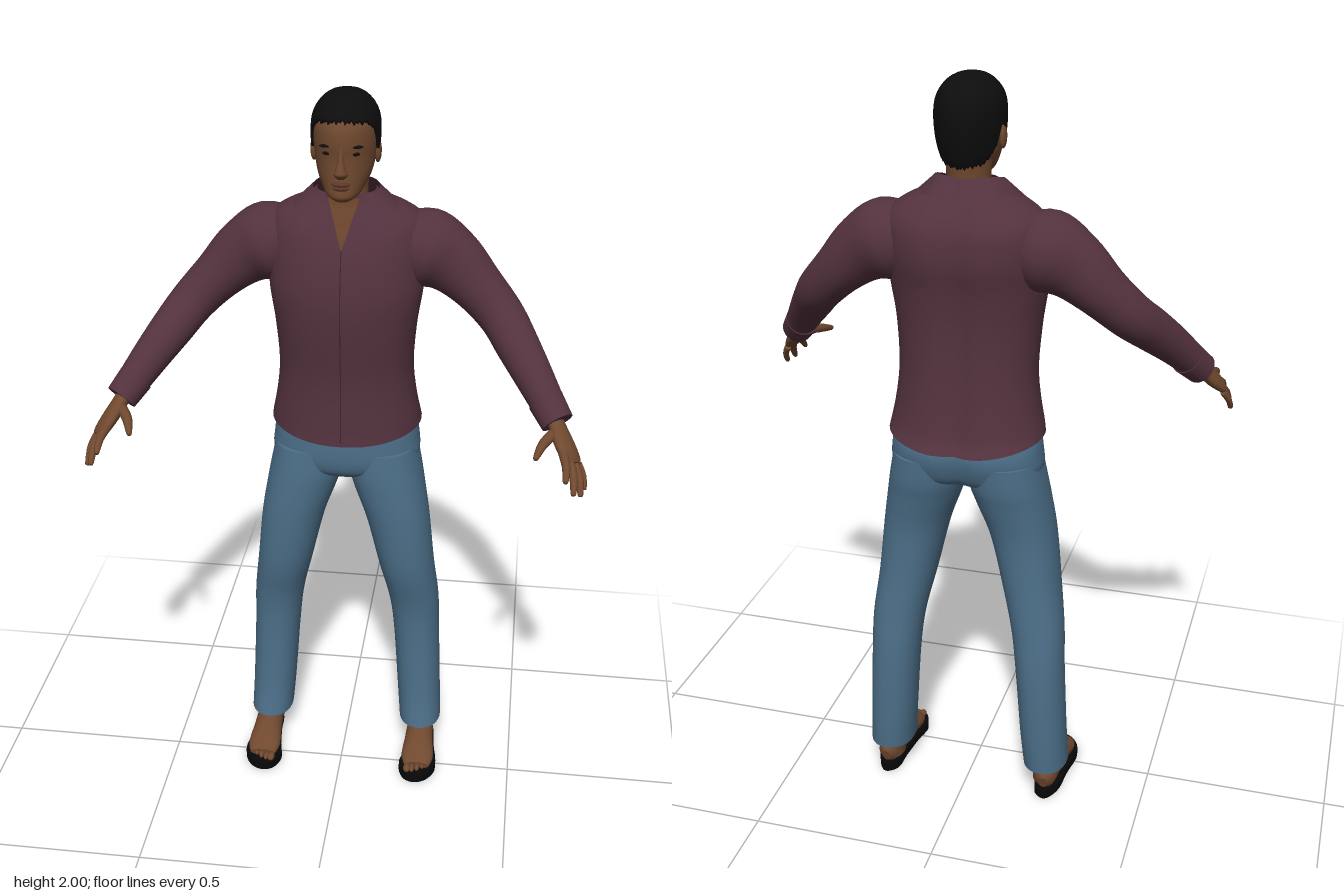
import * as THREE from 'three';

const V = (x, y, z) => new THREE.Vector3(x, y, z);
const paint = (name, color, side = THREE.FrontSide) => {
  const m = new THREE.MeshStandardMaterial({ color, side });
  m.name = name;
  return m;
};

// Catmull-Rom interpolation of every column of a table of rows
function smooth(rows, steps = 5) {
  const out = [], at = i => rows[Math.max(0, Math.min(rows.length - 1, i))];
  for (let i = 0; i < rows.length - 1; i++) {
    for (let s = 0; s < steps; s++) {
      const t = s / steps;
      out.push(rows[i].map((b, k) => {
        const a = at(i - 1)[k], c = at(i + 1)[k], d = at(i + 2)[k];
        return b + 0.5 * t * (c - a + t * (2 * a - 5 * b + 4 * c - d + t * (3 * (b - c) + d - a)));
      }));
    }
  }
  out.push(at(rows.length));
  return out;
}

// Skin over rings of points; closed rings wrap round, caps get a crisp edge
function loft(rings, { capA = false, capB = false, closed = true } = {}) {
  const centre = r => {
    const c = r.reduce((s, p) => s.add(p), V(0, 0, 0)).divideScalar(r.length);
    return r.map(() => c);
  };
  const all = [...rings], first = rings[0], last = rings[rings.length - 1];
  if (capA) all.unshift(centre(first), first);
  if (capB) all.push(last, centre(last));
  const n = first.length, pos = [], idx = [];
  all.forEach(r => r.forEach(p => pos.push(p.x, p.y, p.z)));
  for (let r = 0; r < all.length - 1; r++) {
    for (let i = 0; i < (closed ? n : n - 1); i++) {
      const j = (i + 1) % n, a = r * n + i, b = r * n + j;
      idx.push(a, b, b + n, a, b + n, a + n);
    }
  }
  const g = new THREE.BufferGeometry();
  g.setAttribute('position', new THREE.Float32BufferAttribute(pos, 3));
  g.setIndex(idx);
  g.computeVertexNormals();
  return g;
}

const bend = (v, p) => Math.sign(v) * Math.abs(v) ** (2 / p);

// Horizontal oval, row = [y, centre x, half width, front z, back z]
function oval([y, cx, rx, zf, zb], { n = 36, power = 2, groove = 0 } = {}) {
  return Array.from({ length: n }, (_, i) => {
    const a = i / n * Math.PI * 2, x = rx * bend(Math.sin(a), power);
    let z = (zf + zb) / 2 + (zf - zb) / 2 * bend(Math.cos(a), power);
    if (Math.cos(a) < 0) z += groove * Math.exp(-((x / 0.035) ** 2));
    return V(cx + x, y, z);
  });
}
const stack = (rows, o = {}) => loft(smooth(rows).map(r => oval(r, o)), o);

// Limb along a path, row = [x, y, z, half width, half thickness]
function limb(rows, hint, n = 20, steps = 5) {
  const s = smooth(rows, steps), pt = r => V(r[0], r[1], r[2]);
  return loft(s.map((r, k) => {
    const T = pt(s[Math.min(k + 1, s.length - 1)]).sub(pt(s[Math.max(k - 1, 0)])).normalize();
    const U = hint.clone().addScaledVector(T, -hint.dot(T)).normalize();
    const W = U.clone().cross(T);
    return Array.from({ length: n }, (_, i) => {
      const a = i / n * Math.PI * 2;
      return pt(r).addScaledVector(U, r[3] * Math.sin(a)).addScaledVector(W, r[4] * Math.cos(a));
    });
  }), { capA: true, capB: true });
}

function mirrored(geo) {
  const g = geo.clone().scale(-1, 1, 1), ix = g.index.array;
  for (let i = 0; i < ix.length; i += 3) [ix[i], ix[i + 1]] = [ix[i + 1], ix[i]];
  g.computeVertexNormals();
  return g;
}

function ball(x, y, z, sx, sy, sz) {
  return new THREE.SphereGeometry(1, 16, 12).scale(sx, sy, sz).translate(x, y, z);
}

export function createModel() {
  const man = new THREE.Group();
  man.name = 'man';
  const skin = paint('brown skin', 0x70492f), lip = paint('lip', 0x5c3528);
  const black = paint('black hair', 0x0d0d0d, THREE.DoubleSide), rubber = paint('black rubber', 0x080808);
  const shirt = paint('plum shirt', 0x53323e, THREE.DoubleSide), seamDark = paint('dark seam', 0x3c232d, THREE.DoubleSide);
  const denim = paint('blue denim', 0x4c6f89), chestSkin = paint('chest skin', 0x684329, THREE.DoubleSide);
  const add = (name, geo, mat) => {
    const m = new THREE.Mesh(geo, mat);
    m.name = name;
    man.add(m);
  };
  const pair = (name, geo, mat) => {
    add('left ' + name, geo, mat);
    add('right ' + name, mirrored(geo), mat);
  };

  // Shirt body with a dipping hem and a shallow spine groove
  const body = smooth([
    [1.07, 0, 0.204, 0.022, -0.285], [1.12, 0, 0.198, 0.018, -0.265], [1.25, 0, 0.18, 0.016, -0.248],
    [1.38, 0, 0.186, 0.03, -0.243], [1.48, 0, 0.2, 0.034, -0.25], [1.56, 0, 0.205, 0.022, -0.265],
    [1.63, 0, 0.207, 0.0, -0.26], [1.67, 0, 0.195, -0.02, -0.24], [1.7, 0, 0.155, -0.035, -0.212],
    [1.72, 0, 0.112, -0.045, -0.19], [1.745, 0, 0.075, -0.052, -0.168]]);
  add('shirt body', loft(body.map(r => oval(r, { n: 48, power: 2.2, groove: 0.018 }).map((p, i) => {
    const s = Math.sin(i / 48 * Math.PI * 2) ** 2;
    if (r[0] < 1.15) p.y += 0.026 * s * (1.15 - r[0]) / 0.08;
    return p;
  }))), shirt);

  // Open neck and button seam lying on the shirt front
  const strip = (from, to, half, lift) => loft(body.filter(r => r[0] > from && r[0] < to)
    .map(r => [-1, 0, 1].map(k => V(k * half(r[0]), r[0], r[3] + lift))), { closed: false });
  add('open neck', strip(1.61, 1.74, y => Math.max(0, y - 1.615) * 0.33, 0.004), chestSkin);
  add('button seam', strip(1.08, 1.63, () => 0.0015, 0.002), seamDark);

  // Collar flaps, each a strip from the neck edge to the outer edge
  const inner = [[0, 1.757, -0.168], [0.06, 1.76, -0.148], [0.085, 1.752, -0.105], [0.07, 1.735, -0.055], [0.033, 1.688, -0.016]];
  const outer = [[0, 1.712, -0.207], [0.08, 1.716, -0.188], [0.134, 1.708, -0.11], [0.122, 1.692, -0.042], [0.095, 1.664, -0.01]];
  const edge = pts => smooth(pts, 4).map(p => V(...p));
  pair('collar', loft([edge(outer), edge(inner)], { closed: false }), shirt);

  // Sleeves and cuffs
  pair('sleeve', limb([
    [0.12, 1.6, -0.128, 0.07, 0.07], [0.2, 1.586, -0.132, 0.1, 0.103], [0.27, 1.552, -0.13, 0.078, 0.087],
    [0.34, 1.49, -0.118, 0.068, 0.068], [0.405, 1.425, -0.088, 0.06, 0.06], [0.45, 1.372, -0.03, 0.056, 0.056],
    [0.5, 1.31, 0.035, 0.049, 0.049], [0.556, 1.235, 0.102, 0.04, 0.04]], V(0, 0, 1), 28), shirt);
  pair('cuff', limb([[0.53, 1.268, 0.072, 0.046, 0.046], [0.563, 1.226, 0.11, 0.042, 0.042]], V(0, 0, 1), 24), shirt);

  // Hands
  const across = V(0.05, -0.045, -0.04);
  pair('palm', limb([
    [0.55, 1.24, 0.095, 0.025, 0.02], [0.568, 1.213, 0.128, 0.031, 0.019], [0.583, 1.19, 0.155, 0.04, 0.019],
    [0.599, 1.167, 0.182, 0.04, 0.016], [0.606, 1.156, 0.194, 0.033, 0.011]], across), skin);
  const fingers = {
    index: [[0.578, 1.187, 0.19], [0.588, 1.172, 0.24], [0.588, 1.152, 0.28]],
    middle: [[0.593, 1.17, 0.188], [0.608, 1.143, 0.235], [0.61, 1.112, 0.268]],
    ring: [[0.608, 1.155, 0.178], [0.624, 1.125, 0.21], [0.629, 1.092, 0.235]],
    little: [[0.62, 1.143, 0.165], [0.634, 1.117, 0.18], [0.638, 1.09, 0.198]],
    thumb: [[0.56, 1.213, 0.135], [0.53, 1.203, 0.185], [0.513, 1.188, 0.235]],
  };
  for (const [name, [a, b, c]] of Object.entries(fingers)) {
    const k = name === 'little' ? 0.8 : name === 'thumb' ? 1.25 : 1;
    const tip = c.map((v, i) => v + (c[i] - b[i]) * 0.06);
    pair(name + ' finger', limb([[...a, 0.012 * k, 0.012 * k], [...b, 0.0105 * k, 0.0105 * k],
      [...c, 0.007, 0.007], [...tip, 0.002, 0.002]], across, 10, 3), skin);
  }

  // Jeans
  add('jeans seat', stack([
    [0.94, 0, 0.1, -0.05, -0.17], [0.965, 0, 0.165, -0.014, -0.225], [1.0, 0, 0.2, 0.0, -0.248],
    [1.05, 0, 0.199, 0.003, -0.26], [1.1, 0, 0.19, 0, -0.25], [1.16, 0, 0.17, -0.01, -0.235]],
  { n: 48, power: 2.3, groove: 0.02, capA: true, capB: true }), denim);
  pair('trouser leg', stack([
    [0.095, 0.226, 0.061, -0.042, -0.207], [0.2, 0.219, 0.063, -0.056, -0.214], [0.4, 0.207, 0.066, -0.06, -0.217],
    [0.52, 0.197, 0.071, -0.05, -0.21], [0.65, 0.174, 0.078, -0.018, -0.203], [0.8, 0.148, 0.088, -0.004, -0.206],
    [0.9, 0.122, 0.098, 0.0, -0.225], [0.96, 0.108, 0.101, 0.0, -0.24], [1.03, 0.1, 0.095, -0.004, -0.247]],
  { power: 2.2, capA: true, capB: true }), denim);

  // Feet, toes and flat sandals
  pair('ankle', stack([[0.04, 0.227, 0.034, -0.09, -0.182], [0.1, 0.226, 0.036, -0.085, -0.185],
    [0.18, 0.223, 0.04, -0.09, -0.185]], { n: 20 }), skin);
  pair('foot', limb([
    [0.232, 0.05, -0.186, 0.012, 0.02], [0.231, 0.055, -0.165, 0.03, 0.036], [0.23, 0.06, -0.1, 0.038, 0.043],
    [0.23, 0.053, -0.04, 0.042, 0.037], [0.231, 0.04, 0.02, 0.047, 0.024], [0.231, 0.033, 0.055, 0.037, 0.013]], V(1, 0, 0)), skin);
  for (let i = 0; i < 5; i++) {
    pair('toe', ball(0.204 + i * 0.0145, 0.031, 0.066 - i * i * 0.0022, i ? 0.008 : 0.011, 0.01, 0.018), skin);
  }
  const outline = new THREE.CatmullRomCurve3([[0.228, 0.093], [0.258, 0.08], [0.284, 0.035], [0.274, -0.06], [0.264, -0.15],
    [0.235, -0.192], [0.205, -0.17], [0.198, -0.1], [0.188, -0.02], [0.178, 0.04], [0.198, 0.083]]
    .map(([x, z]) => V(x, 0, z)), true).getPoints(44).slice(0, 44);
  pair('sandal sole', loft([0, 0.024].map(y => outline.map(p => V(p.x, y, p.z))), { capA: true, capB: true }), rubber);

  // Neck, head and face
  add('neck', stack([[1.62, 0, 0.06, -0.04, -0.17], [1.7, 0, 0.056, -0.052, -0.165], [1.76, 0, 0.055, -0.055, -0.165],
    [1.83, 0, 0.06, -0.05, -0.175]]), skin);
  add('head', stack([
    [1.742, 0, 0.022, 0.004, -0.045], [1.755, 0, 0.041, 0.018, -0.085], [1.78, 0, 0.058, 0.017, -0.14],
    [1.81, 0, 0.07, 0.015, -0.168], [1.85, 0, 0.077, 0.014, -0.186], [1.89, 0, 0.08, 0.018, -0.195],
    [1.93, 0, 0.076, 0.012, -0.19], [1.965, 0, 0.055, -0.015, -0.165], [1.985, 0, 0.02, -0.06, -0.11]],
  { capA: true, capB: true }), skin);
  add('nose', stack([[1.803, 0, 0.012, 0.018, -0.01], [1.815, 0, 0.018, 0.033, -0.01], [1.826, 0, 0.014, 0.034, -0.01],
    [1.85, 0, 0.009, 0.025, -0.01], [1.88, 0, 0.008, 0.018, -0.01]], { n: 16, capA: true }), skin);
  add('upper lip', ball(0, 1.79, 0.013, 0.024, 0.006, 0.011), lip);
  add('lower lip', ball(0, 1.78, 0.012, 0.02, 0.007, 0.011), lip);
  pair('eye', ball(0.034, 1.864, 0.001, 0.012, 0.005, 0.008), black);
  pair('eyebrow', ball(0.036, 1.882, 0.002, 0.018, 0.004, 0.009), black);
  pair('ear', ball(0.08, 1.848, -0.09, 0.009, 0.03, 0.017), skin);

  // Short hair: a shell from an uneven hairline up to the crown
  const shell = smooth([
    [1.77, 0, 0.068, 0.02, -0.178], [1.84, 0, 0.083, 0.021, -0.2], [1.9, 0, 0.087, 0.023, -0.208],
    [1.94, 0, 0.082, 0.018, -0.202], [1.97, 0, 0.065, -0.006, -0.18], [1.99, 0, 0.04, -0.04, -0.145],
    [2.0, 0, 0.004, -0.088, -0.096]], 8);
  const line = [[0, 1.942], [0.28, 1.935], [0.38, 1.905], [0.43, 1.857], [0.49, 1.862], [0.53, 1.887],
    [0.58, 1.875], [0.64, 1.825], [0.75, 1.792], [1, 1.782]];
  const mix = (table, v) => {
    const k = Math.max(1, table.findIndex(r => r[0] >= v)), a = table[k - 1], b = table[k];
    return a.map((q, i) => q + (b[i] - q) * (v - a[0]) / (b[0] - a[0]));
  };
  const n = 96, levels = 14;
  const hairRing = (t, s) => Array.from({ length: n }, (_, i) => {
    const a = i / n * Math.PI * 2, u = Math.min(i, n - i) / (n / 2);
    const low = mix(line, u)[1] + [0, 0.006, -0.004, 0.003][i % 4];
    const [y, , rx, zf, zb] = mix(shell, Math.min(1.9999, low + (2 - low) * Math.sin(t * Math.PI / 2)));
    return V(rx * s * Math.sin(a), y, (zf + zb) / 2 + (zf - zb) / 2 * s * Math.cos(a));
  });
  const hair = [hairRing(0, 0.88)];
  for (let k = 0; k <= levels; k++) hair.push(hairRing(k / levels, 1));
  add('hair', loft(hair, { capB: true }), black);

  return man;
}
